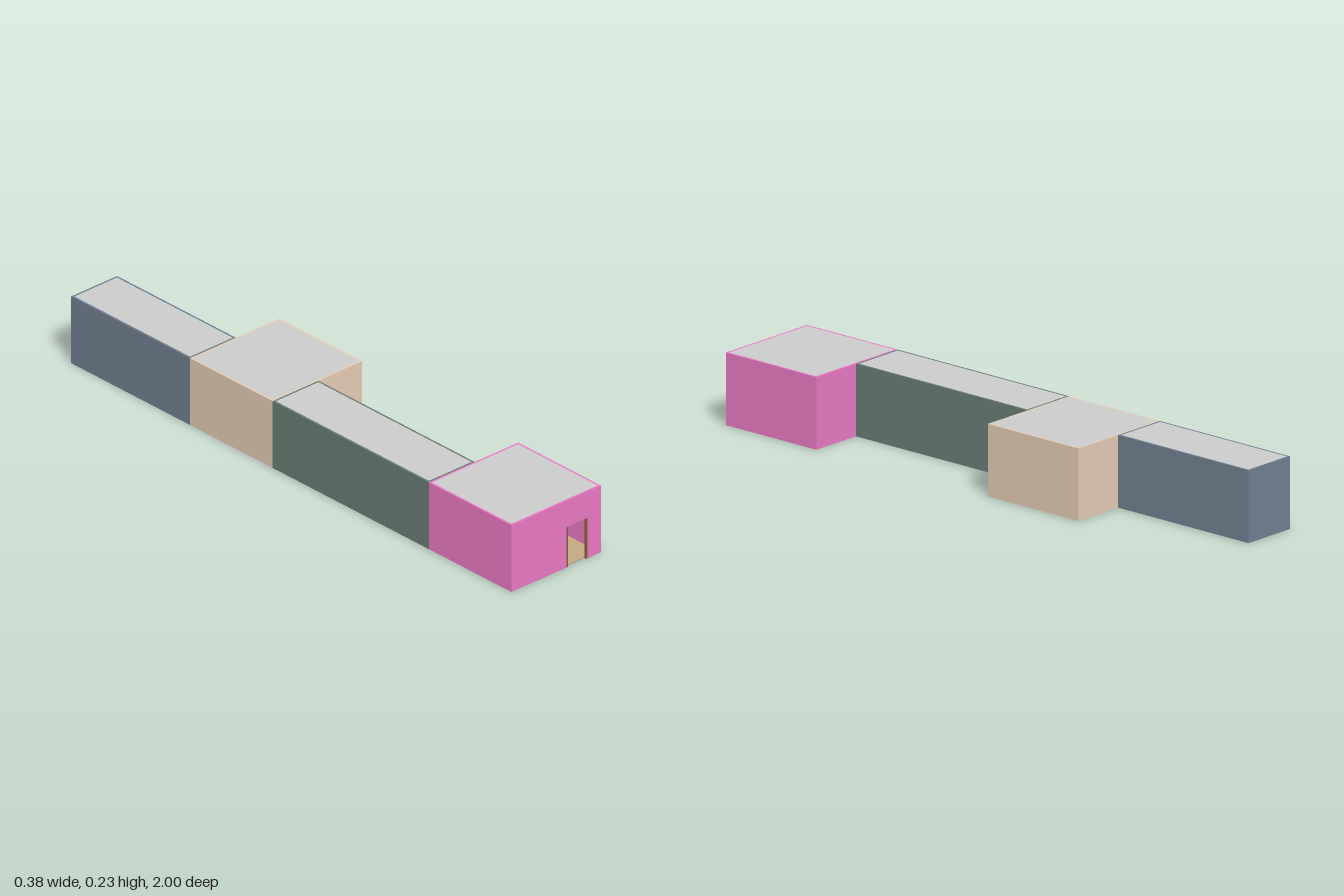
import * as THREE from 'three';

const H = 0.235; // wall height
const T = 0.007; // wall thickness
const SLAB = 0.004;

const material = (color) => new THREE.MeshStandardMaterial({ color });
const timber = material(0x8b5a3c);
const grey = material(0xcccccc);

// Box given by its two opposite corners
function block(name, mat, [x0, y0, z0], [x1, y1, z1]) {
  const mesh = new THREE.Mesh(new THREE.BoxGeometry(x1 - x0, y1 - y0, z1 - z0), mat);
  mesh.position.set((x0 + x1) / 2, (y0 + y1) / 2, (z0 + z1) / 2);
  mesh.name = name;
  return mesh;
}

// Front wall, with an optional doorway cut up from the ground
function frontWall(mat, x0, x1, z1, door) {
  const s = new THREE.Shape();
  s.moveTo(x0, 0);
  if (door) {
    s.lineTo(door.x0, 0);
    s.lineTo(door.x0, door.top);
    s.lineTo(door.x1, door.top);
    s.lineTo(door.x1, 0);
  }
  s.lineTo(x1, 0);
  s.lineTo(x1, H);
  s.lineTo(x0, H);
  s.closePath();
  const geo = new THREE.ExtrudeGeometry(s, { depth: T, bevelEnabled: false });
  geo.translate(0, 0, z1 - T);
  const mesh = new THREE.Mesh(geo, mat);
  mesh.name = 'frontWall';
  return mesh;
}

// Four walls with a floor and a flat ceiling fitted between them
function room({ name, x0, x1, z0, z1, wall, floor, door }) {
  const g = new THREE.Group();
  g.name = name;
  const mat = material(wall);
  g.add(
    frontWall(mat, x0, x1, z1, door),
    block('backWall', mat, [x0, 0, z0], [x1, H, z0 + T]),
    block('rightWall', mat, [x0, 0, z0 + T], [x0 + T, H, z1 - T]),
    block('leftWall', mat, [x1 - T, 0, z0 + T], [x1, H, z1 - T]),
    block('floor', material(floor), [x0 + T, 0, z0 + T], [x1 - T, SLAB, z1 - T]),
    block('ceiling', grey, [x0 + T, H - SLAB, z0 + T], [x1 - T, H, z1 - T])
  );
  return g;
}

export function createModel() {
  const model = new THREE.Group();
  model.name = 'building';

  const door = { x0: 0.043, x1: 0.131, top: 0.142 };
  const W = 0.188;
  const rooms = [
    { name: 'entranceRoom', x0: -W, x1: W, z0: 0.625, z1: 1, wall: 0xe97ac3, floor: 0xc4a882, door },
    { name: 'frontCorridor', x0: -W, x1: 0.005, z0: -0.085, z1: 0.625, wall: 0x697d75, floor: 0xc4a882 },
    { name: 'middleRoom', x0: -W, x1: W, z0: -0.46, z1: -0.085, wall: 0xe4ccb4, floor: 0xe8e4e0 },
    { name: 'backCorridor', x0: -W, x1: 0.005, z0: -1, z1: -0.46, wall: 0x708090, floor: 0xa8a8a8 },
  ];
  rooms.forEach((r) => model.add(room(r)));

  // Timber jambs lining the doorway
  for (const x of [door.x0, door.x1 - 0.006]) {
    model.add(block('doorJamb', timber, [x, 0, 1 - T], [x + 0.006, door.top, 1]));
  }

  // Framed pane on the inside of the entrance room's back wall
  const pane = new THREE.Group();
  pane.name = 'innerWindow';
  const [px0, px1, py0, py1, f] = [0.057, 0.118, 0.055, 0.135, 0.004];
  const z0 = 0.625 + T;
  const z1 = z0 + 0.006;
  pane.add(
    block('frameBottom', timber, [px0, py0, z0], [px1, py0 + f, z1]),
    block('frameTop', timber, [px0, py1 - f, z0], [px1, py1, z1]),
    block('frameRight', timber, [px0, py0 + f, z0], [px0 + f, py1 - f, z1]),
    block('frameLeft', timber, [px1 - f, py0 + f, z0], [px1, py1 - f, z1]),
    block('glass', grey, [px0 + f, py0 + f, z0], [px1 - f, py1 - f, z0 + 0.003])
  );
  model.add(pane);

  return model;
}
